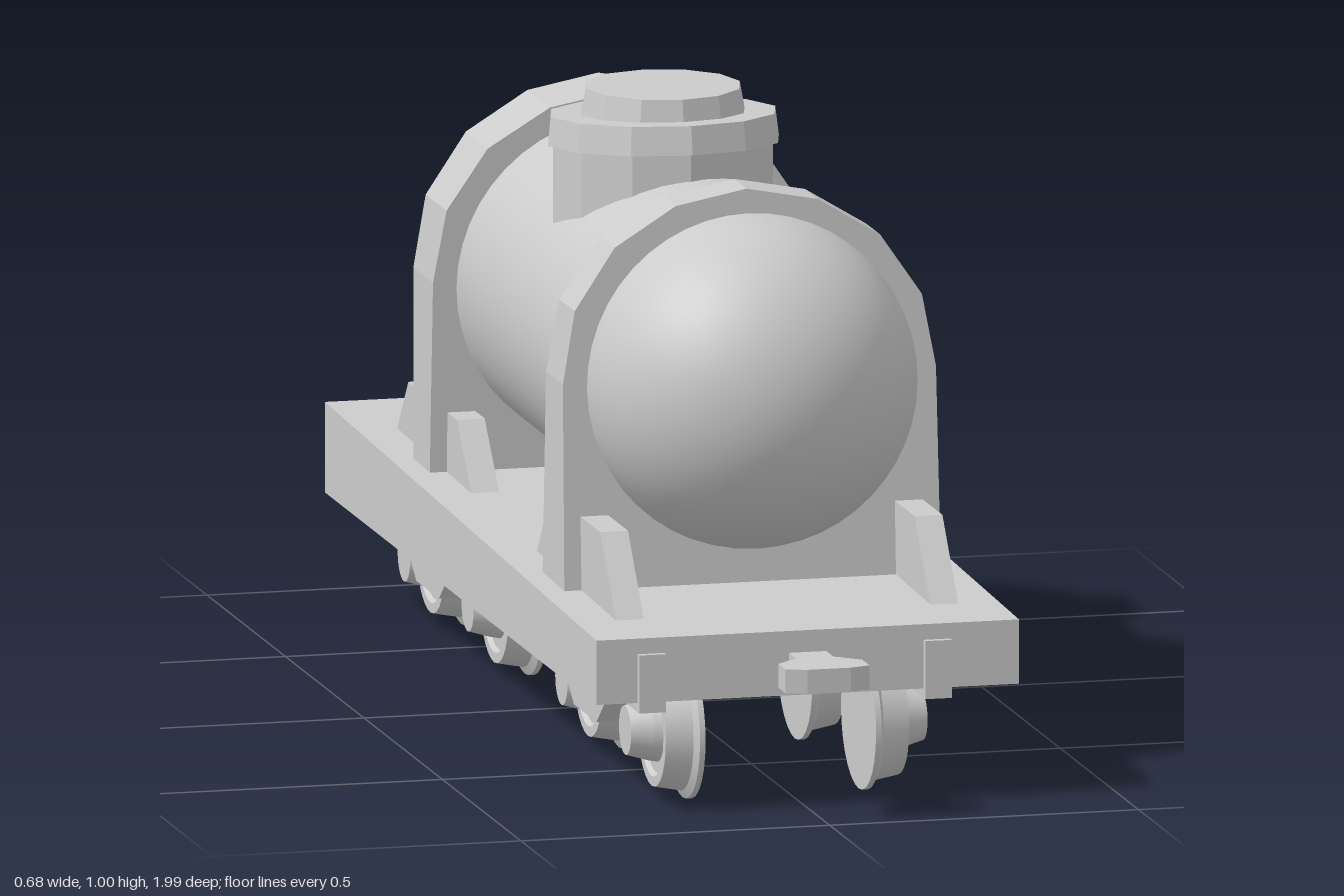
import * as THREE from 'three';

const smooth = new THREE.MeshStandardMaterial({ color: 0xcccccc });
const flat = new THREE.MeshStandardMaterial({ color: 0xcccccc, flatShading: true });

const shapeOf = (pts) => new THREE.Shape(pts.map(([x, y]) => new THREE.Vector2(x, y)));

// Side profile given as [z, y], extruded across x from x0 to x1
function sideProfile(pts, x0, x1) {
  const g = new THREE.ExtrudeGeometry(shapeOf(pts), { depth: x1 - x0, bevelEnabled: false });
  return g.rotateY(-Math.PI / 2).translate(x1, 0, 0);
}

// Solid saddle arch whose thickness changes linearly with height
function archGeometry(bottom, top) {
  const half = [[0.305, 0.28], [0.302, 0.62], [0.281, 0.735], [0.215, 0.832], [0.115, 0.893]];
  const outline = [...half, [0, 0.915], ...half.map(([x, y]) => [-x, y]).reverse()];
  const g = new THREE.ExtrudeGeometry(shapeOf(outline), { depth: 1, bevelEnabled: false });
  const p = g.attributes.position;
  for (let i = 0; i < p.count; i++) {
    const t = (p.getY(i) - 0.28) / 0.635;
    const k = p.getZ(i) > 0.5 ? 1 : 0;
    p.setZ(i, THREE.MathUtils.lerp(bottom[k], top[k], t));
  }
  g.computeVertexNormals();
  return g;
}

// Flanged wheel with stepped hub; axis along +x, measured from the track centre
function wheelGeometry() {
  const profile = [
    [0, 0.138], [0.112, 0.138], [0.112, 0.147], [0.099, 0.154], [0.091, 0.197],
    [0.075, 0.197], [0.07, 0.19], [0.052, 0.19], [0.049, 0.205], [0.039, 0.24], [0, 0.24],
  ];
  // Repeated points keep the steps crisp
  const pts = profile.flatMap(([r, h]) => [new THREE.Vector2(r, h), new THREE.Vector2(r, h)]).slice(1, -1);
  return new THREE.LatheGeometry(pts, 28).rotateZ(-Math.PI / 2);
}

export function createModel() {
  const model = new THREE.Group();
  const add = (name, geometry, material = flat, parent = model) => {
    const mesh = new THREE.Mesh(geometry, material);
    mesh.name = name;
    parent.add(mesh);
    return mesh;
  };

  // Deck, slightly thicker toward the back
  add('deck', sideProfile([[0.86, 0.182], [0.86, 0.285], [-0.87, 0.327], [-0.87, 0.182]], -0.342, 0.342));

  // Tank with round ends
  const tank = add('tank', new THREE.CapsuleGeometry(0.266, 0.908, 16, 48).rotateX(Math.PI / 2), smooth);
  tank.position.set(0.002, 0.61, 0.019);

  // Saddle arches: the front one narrows upward, the back one widens
  add('frontArch', archGeometry([0.37, 0.51], [0.39, 0.47]));
  add('backArch', archGeometry([-0.453, -0.35], [-0.475, -0.33]));

  // Sloped gussets on both sides of each arch
  const gussets = {
    frontGusset: [[0.735, 0.28], [0.628, 0.41], [0.31, 0.41], [0.21, 0.28]],
    backGusset: [[-0.18, 0.295], [-0.285, 0.41], [-0.595, 0.41], [-0.675, 0.31]],
  };
  for (const [name, pts] of Object.entries(gussets)) {
    add(name, sideProfile(pts, 0.232, 0.277));
    add(name, sideProfile(pts, -0.277, -0.232));
  }

  // Filler dome: faceted neck, tilted rim and cap
  const dome = new THREE.Group();
  dome.name = 'fillerDome';
  dome.position.set(-0.022, 0, 0.025);
  model.add(dome);
  add('domeNeck', new THREE.CylinderGeometry(0.178, 0.178, 0.2, 12), flat, dome).position.y = 0.82;
  const rim = add('domeRim', new THREE.CylinderGeometry(0.182, 0.187, 0.046, 12), flat, dome);
  rim.position.y = 0.929;
  rim.rotation.x = -0.066;
  add('domeCap', new THREE.CylinderGeometry(0.124, 0.137, 0.07, 12), flat, dome).position.y = 0.96;

  // Couplers at both ends
  const half = [[0.03, 0.84], [0.03, 0.905], [0.068, 0.94], [0.068, 0.986], [0.035, 0.997]];
  const outline = [...half, ...half.map(([x, z]) => [-x, z]).reverse()];
  for (const turn of [0, Math.PI]) {
    const g = new THREE.ExtrudeGeometry(shapeOf(outline), { depth: 0.038, bevelEnabled: false });
    g.rotateX(Math.PI / 2).translate(0, 0.25, 0).rotateY(turn);
    add(turn ? 'backCoupler' : 'frontCoupler', g);
  }

  // Two bogies: side frames and four wheels each, on a track set slightly off centre
  const frame = [
    [0.345, 0.26], [0.345, 0.167], [0.16, 0.167], [0.072, 0.1],
    [-0.072, 0.1], [-0.16, 0.167], [-0.345, 0.167], [-0.345, 0.26],
  ];
  const wheel = wheelGeometry();
  for (const [name, z] of [['frontBogie', 0.526], ['backBogie', -0.478]]) {
    const bogie = new THREE.Group();
    bogie.name = name;
    bogie.position.set(-0.0225, 0, z);
    model.add(bogie);
    add('sideFrame', sideProfile(frame, 0.21, 0.253), flat, bogie);
    add('sideFrame', sideProfile(frame, -0.253, -0.21), flat, bogie);
    for (const dz of [-0.203, 0.203]) {
      for (const turn of [0, Math.PI]) {
        const w = add('wheel', wheel, smooth, bogie);
        w.position.set(0, 0.112, dz);
        w.rotation.y = turn;
      }
    }
  }
  return model;
}
